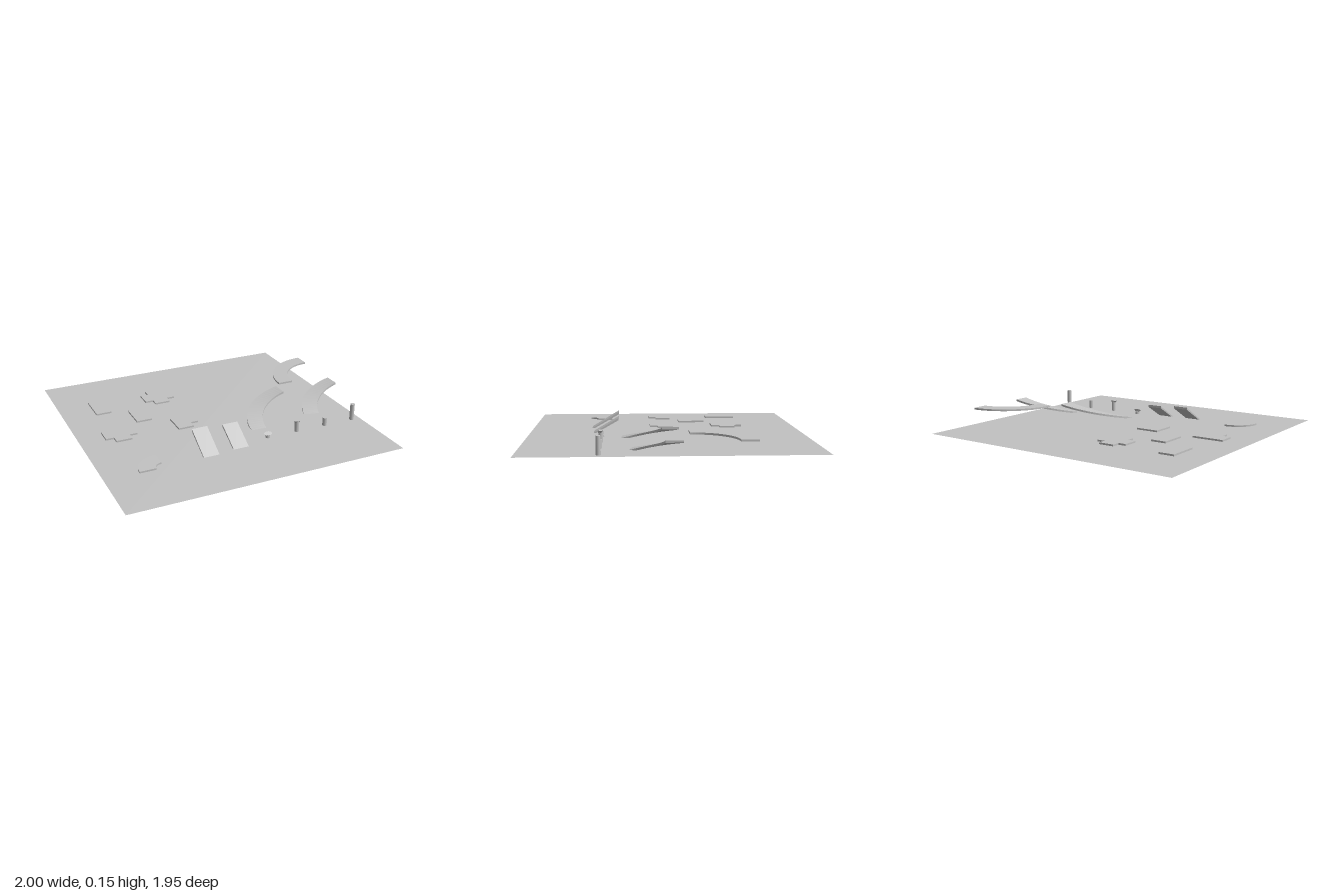
import * as THREE from 'three';

export function createModel() {
  const model = new THREE.Group();
  const grey = new THREE.MeshStandardMaterial({ color: 0xc2c2c2, side: THREE.DoubleSide });
  grey.name = 'light grey';

  const add = (name, geometry, x = 0, y = 0, z = 0) => {
    const mesh = new THREE.Mesh(geometry, grey);
    mesh.name = name;
    mesh.position.set(x, y, z);
    model.add(mesh);
    return mesh;
  };

  // Upright slab from an outline of [x, z] points
  const slab = (points, thickness) => {
    const shape = new THREE.Shape(points.map(([x, z]) => new THREE.Vector2(x, -z)));
    return new THREE.ExtrudeGeometry(shape, { depth: thickness, bevelEnabled: false }).rotateX(-Math.PI / 2);
  };

  // Curved road deck: sweeps from -x to -z around its centre, rising from y0 to y1
  const curvedRoad = (inner, outer, thickness, y0, y1, start = 0, steps = 24) => {
    const positions = [], indices = [];
    for (let i = 0; i <= steps; i++) {
      const t = i / steps;
      const a = start + (Math.PI / 2 - start) * t;
      const y = y0 + (y1 - y0) * t;
      for (const [r, h] of [[inner, 0], [outer, 0], [outer, thickness], [inner, thickness]]) {
        positions.push(-r * Math.cos(a), y + h, -r * Math.sin(a));
      }
    }
    for (let i = 0; i < steps; i++) {
      for (let k = 0; k < 4; k++) {
        const a = i * 4 + k, b = i * 4 + (k + 1) % 4;
        indices.push(a, b, b + 4, a, b + 4, a + 4);
      }
    }
    const e = steps * 4;
    indices.push(0, 2, 1, 0, 3, 2, e, e + 1, e + 2, e, e + 2, e + 3);
    const geometry = new THREE.BufferGeometry();
    geometry.setAttribute('position', new THREE.Float32BufferAttribute(positions, 3));
    geometry.setIndex(indices);
    const flat = geometry.toNonIndexed();
    flat.computeVertexNormals();
    return flat;
  };

  // Ground sheet
  add('ground', new THREE.PlaneGeometry(1.946, 1.946).rotateX(-Math.PI / 2), -0.027, 0.026, 0);

  // Tile outlines: h is half a road width, a is the reach of an arm
  const h = 0.056, a = 0.113;
  const rect = (d) => [[-h, -d], [h, -d], [h, d], [-h, d]];
  const cross = [[-h, -a], [h, -a], [h, -h], [a, -h], [a, h], [h, h],
    [h, a], [-h, a], [-h, h], [-a, h], [-a, -h], [-h, -h]];
  const tee = [[-a, -h], [a, -h], [a, h], [h, h], [h, a], [-h, a], [-h, h], [-a, h]];
  const corner = [[-h, -h], [a, -h], [a, h], [h, h], [h, a], [-h, a]];

  // Each tile sits above the sheet, with its twin one column over beneath it
  const tiles = [
    ['straightTile', rect(a), -0.713, -0.463],
    ['crossTile', cross, -0.258, -0.463],
    ['shortTile', rect(0.097), -0.486, -0.215],
    ['teeTile', tee, -0.713, -0.003],
    ['cornerTile', corner, -0.258, -0.003],
  ];
  for (const [name, outline, x, z] of tiles) {
    add(name, slab(outline, 0.012), x, 0.032, z);
    add(name + 'Lower', slab(outline, 0.02), x + 0.228, 0, z);
  }
  add('smallCurve', curvedRoad(0.057, 0.17, 0.012, 0, 0), -0.6, 0.032, 0.567);
  add('smallCurveLower', curvedRoad(0.057, 0.17, 0.02, 0, 0), -0.372, 0, 0.567);

  // Large level curves
  add('raisedCurve', curvedRoad(0.284, 0.396, 0.013, 0, 0), 1, 0.121, -0.117);
  add('levelCurveLower', curvedRoad(0.284, 0.396, 0.006, 0, 0), 0.544, 0.018, -0.117);

  // Climbing curves
  add('curvedRamp', curvedRoad(0.284, 0.396, 0.014, 0.008, 0.128), 0.544, 0, 0.337);
  add('curvedRampShort', curvedRoad(0.284, 0.396, 0.014, 0.006, 0.118, 0.16), 1, 0, 0.337);

  // Straight ramps: side profile in z and y, swept across the width
  const ramp = (z0, z1, top) => {
    const profile = new THREE.Shape([[z0, 0.002], [z0, 0.012], [z1, top], [z1, top - 0.016]]
      .map(([z, y]) => new THREE.Vector2(-z, y)));
    return new THREE.ExtrudeGeometry(profile, { depth: 0.112, bevelEnabled: false })
      .translate(0, 0, -0.056).rotateY(Math.PI / 2);
  };
  add('straightRamp', ramp(0.563, 0.341, 0.145), -0.26);
  add('straightRampLow', ramp(0.543, 0.341, 0.132), -0.034);

  // Small wedges under the sheet
  for (const x of [-0.486, -0.258]) {
    add('wedge', slab([[-h, -0.03], [h, -0.03], [h, 0.04]], 0.02), x, 0.003, 0.29);
  }

  // Support pillars
  const pillar = (name, x, bottom, top) =>
    add(name, new THREE.CylinderGeometry(0.016, 0.016, top - bottom, 16), x, (top + bottom) / 2, 0.455);
  pillar('wingedPillar', 0.428, 0.026, 0.108);
  pillar('shortPillar', 0.655, 0.026, 0.085);
  pillar('tallPillar', 0.882, 0.026, 0.146);
  pillar('capStem', 0.2, 0.026, 0.042);

  // Flared caps; the loose one has a sloping seat
  const flare = () => new THREE.CylinderGeometry(0.03, 0.016, 0.016, 16).scale(1, 1, 0.6);
  add('pillarCap', flare(), 0.428, 0.1, 0.455);
  add('slopedCap', flare(), 0.2, 0.05, 0.455).rotation.x = 0.45;

  return model;
}
